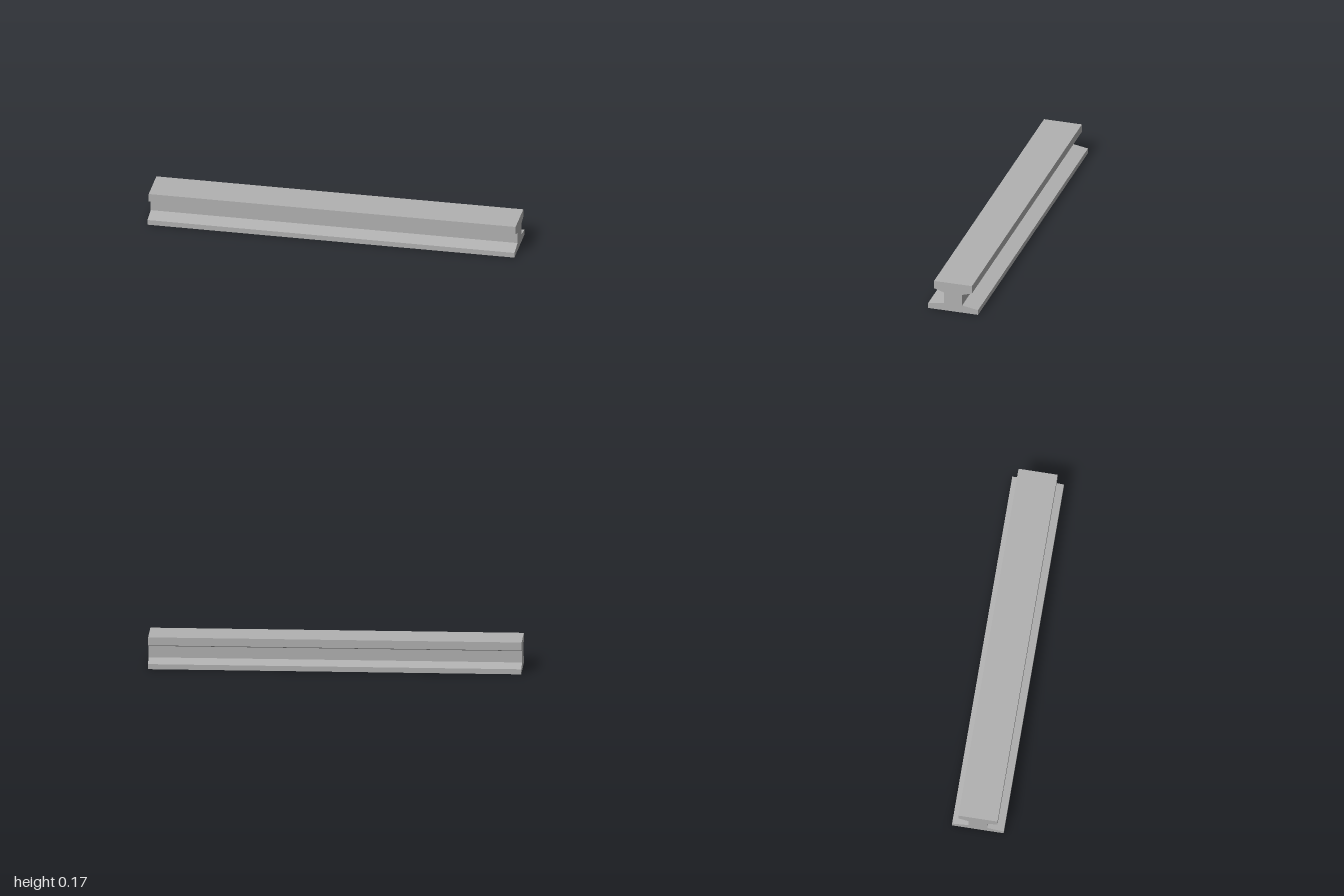
import * as THREE from 'three';

export function createModel() {
  const group = new THREE.Group();
  group.name = 'railSection';

  const steel = new THREE.MeshStandardMaterial({ color: 0xb2b2b2 });
  steel.name = 'steel grey';

  // Right half of the cross-section, from the foot up to the head
  const half = [
    [0.14, 0], [0.14, 0.028],        // foot
    [0.051, 0.043], [0.051, 0.106],  // web
    [0.106, 0.123], [0.106, 0.167],  // head
  ];
  const mirrored = half.map(([x, y]) => [-x, y]).reverse();
  const profile = new THREE.Shape(
    [...half, ...mirrored].map(([x, y]) => new THREE.Vector2(x, y))
  );

  // Sweep the profile along x
  const length = 2;
  const geometry = new THREE.ExtrudeGeometry(profile, { depth: length, bevelEnabled: false });
  geometry.translate(0, 0, -length / 2);
  geometry.rotateY(Math.PI / 2);

  const rail = new THREE.Mesh(geometry, steel);
  rail.name = 'rail';
  group.add(rail);
  return group;
}
